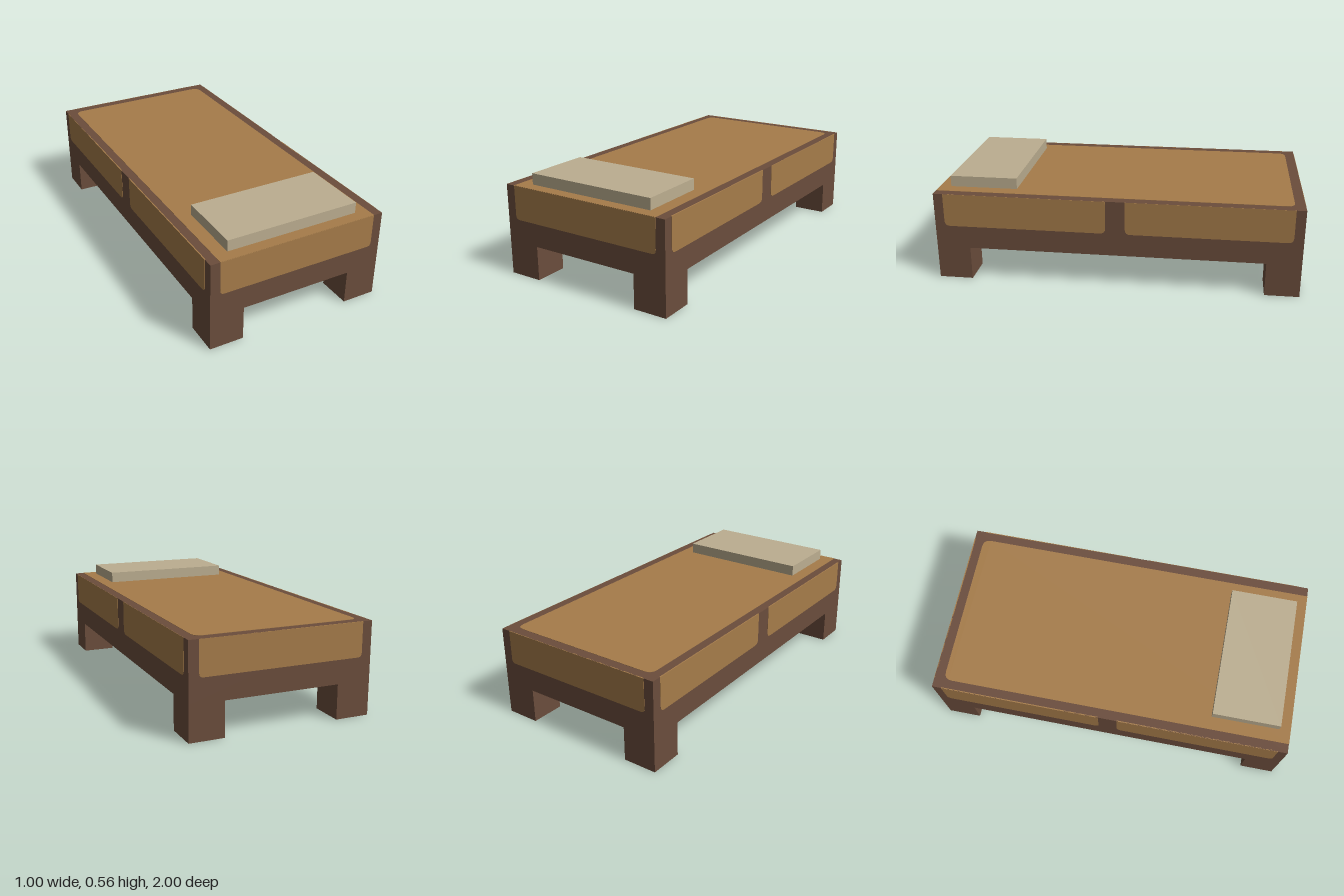
import * as THREE from 'three';

const DEPTH = 0.006; // plate thickness, mostly sunk into the frame
const PROUD = 0.0015; // how far a plate stands out

// Panel outline: straight upper edge at y = 0, rounded lower corners at y = -h
function panelShape(w, h, r) {
  const s = new THREE.Shape();
  s.moveTo(-w / 2, 0);
  s.lineTo(-w / 2, -h + r);
  s.quadraticCurveTo(-w / 2, -h, -w / 2 + r, -h);
  s.lineTo(w / 2 - r, -h);
  s.quadraticCurveTo(w / 2, -h, w / 2, -h + r);
  s.lineTo(w / 2, 0);
  s.closePath();
  return s;
}

export function createModel() {
  const model = new THREE.Group();
  model.name = 'bed';

  const wood = new THREE.MeshStandardMaterial({ color: 0x6b4d3c });
  wood.name = 'dark wood';
  const blanket = new THREE.MeshStandardMaterial({ color: 0xa67c4a });
  blanket.name = 'tan blanket';
  const linen = new THREE.MeshStandardMaterial({ color: 0xbcae90 });
  linen.name = 'pale linen';

  function addBox(name, material, size, position) {
    const mesh = new THREE.Mesh(new THREE.BoxGeometry(...size), material);
    mesh.name = name;
    mesh.position.set(...position);
    model.add(mesh);
  }

  function addPanel(name, w, h, r, position, rotation) {
    const geometry = new THREE.ExtrudeGeometry(panelShape(w, h, r), {
      depth: DEPTH, bevelEnabled: false, curveSegments: 4,
    });
    geometry.translate(0, 0, PROUD - DEPTH);
    const mesh = new THREE.Mesh(geometry, blanket);
    mesh.name = name;
    mesh.position.set(...position);
    mesh.rotation.set(...rotation);
    model.add(mesh);
  }

  // Frame and four square legs
  addBox('frame', wood, [1, 0.3125, 2], [0, 0.34375, 0]);
  for (const x of [-1, 1]) {
    for (const z of [-1, 1]) {
      addBox('leg', wood, [0.1875, 0.1875, 0.1875], [x * 0.40625, 0.09375, z * 0.90625]);
    }
  }

  // Pillow
  addBox('pillow', linen, [0.75, 0.0625, 0.375], [0, 0.53125, 0.75]);

  // Blanket on top, running out to the front edge
  const top = new THREE.Group();
  addPanel('blanketTop', 0.895, 1.945, 0.045, [0, 0.5, 1], [-Math.PI / 2, 0, Math.PI]);
  const topMesh = model.children[model.children.length - 1];
  topMesh.rotation.set(-Math.PI / 2, 0, 0);
  topMesh.scale.y = -1; // outline runs from the front edge to the back
  topMesh.geometry.scale(1, -1, 1);
  flipWinding(topMesh.geometry);
  topMesh.scale.y = 1;

  // Blanket on both ends and in two panels along each side
  addPanel('blanketFront', 0.893, 0.185, 0.022, [0, 0.5, 1], [0, 0, 0]);
  addPanel('blanketBack', 0.893, 0.185, 0.022, [0, 0.5, -1], [0, Math.PI, 0]);
  for (const side of [-1, 1]) {
    for (const z of [-0.5, 0.5]) {
      addPanel('blanketSide', 0.894, 0.185, 0.03, [side * 0.5, 0.5, z], [0, side * Math.PI / 2, 0]);
    }
  }
  return model;
}

// Restores outward faces after a mirrored scale
function flipWinding(geometry) {
  const p = geometry.attributes.position;
  const a = new THREE.Vector3();
  const b = new THREE.Vector3();
  for (let i = 0; i < p.count; i += 3) {
    a.fromBufferAttribute(p, i + 1);
    b.fromBufferAttribute(p, i + 2);
    p.setXYZ(i + 1, b.x, b.y, b.z);
    p.setXYZ(i + 2, a.x, a.y, a.z);
  }
  geometry.computeVertexNormals();
}
